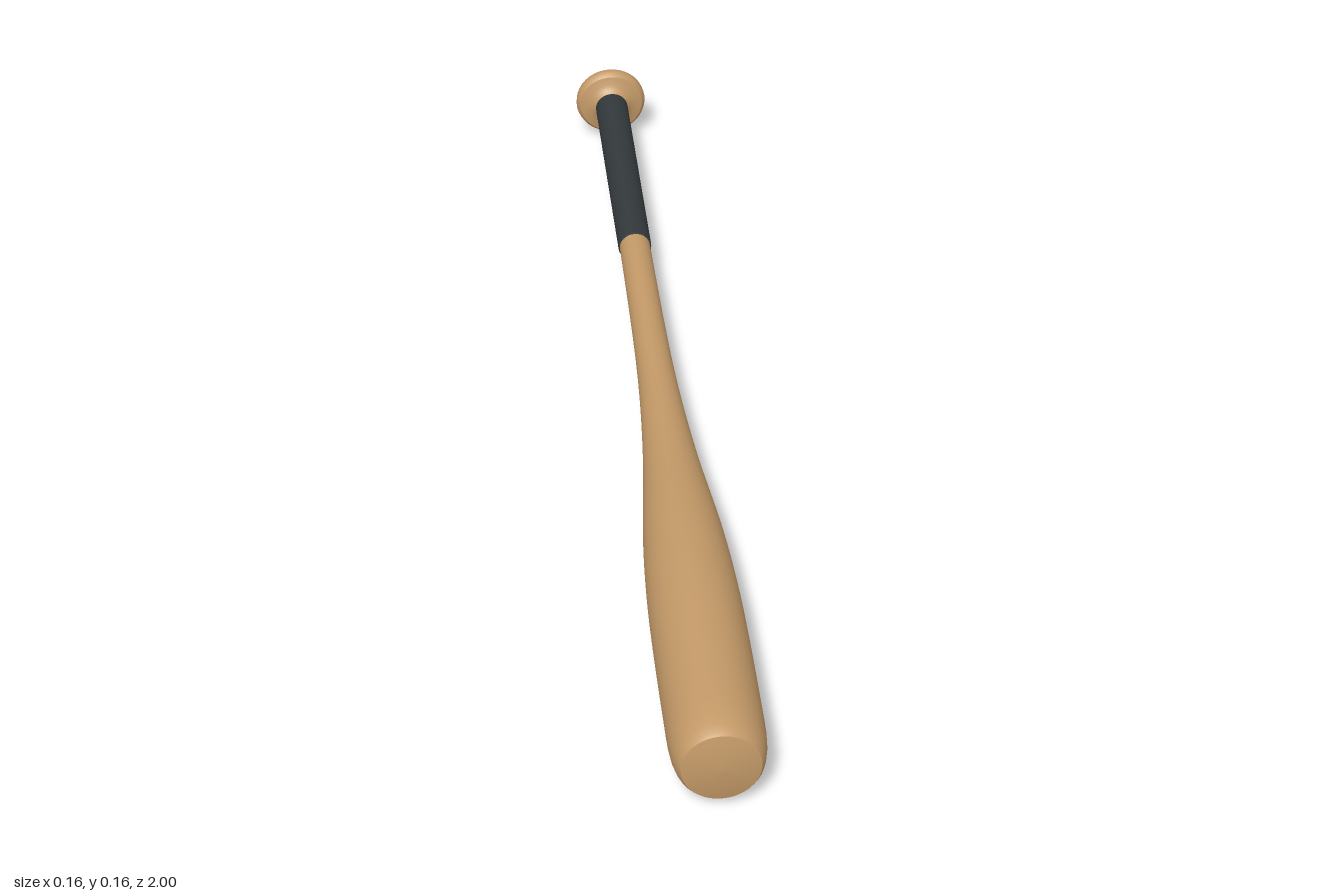
import * as THREE from 'three';

const AXIS_Y = 0.079;

export function createModel() {
  const model = new THREE.Group();
  model.name = 'bat';

  const wood = new THREE.MeshStandardMaterial({ color: 0xc49a68 });
  wood.name = 'wood';
  const gripTape = new THREE.MeshStandardMaterial({ color: 0x33393b });
  gripTape.name = 'gripTape';

  // Turned part along z from [z, radius] pairs, given from back to front
  function turned(name, material, profile) {
    const points = profile.map(([z, r]) => new THREE.Vector2(r, z));
    const geometry = new THREE.LatheGeometry(points, 48).rotateX(Math.PI / 2);
    const mesh = new THREE.Mesh(geometry, material);
    mesh.name = name;
    mesh.position.y = AXIS_Y;
    model.add(mesh);
  }

  // Barrel and taper: a smooth curve through a few radii
  const taper = new THREE.SplineCurve([
    [-0.46, 0.028], [-0.2, 0.03], [0, 0.035], [0.2, 0.047], [0.4, 0.066],
    [0.55, 0.075], [0.7, 0.078], [0.9, 0.078],
  ].map(([z, r]) => new THREE.Vector2(z, r)));
  const body = taper.getPoints(42).map((p) => [p.x, p.y]);
  turned('barrel', wood, [
    ...body, [0.93, 0.0775], [0.955, 0.0755], [0.973, 0.072], [0.985, 0.068], [0.992, 0.0635],
  ]);

  // Slightly domed end of the barrel
  turned('barrelEnd', wood, [[0.992, 0.0635], [0.996, 0.045], [0.999, 0.022], [1, 0]]);

  // Wrapped grip with a small step at its front edge
  turned('grip', gripTape, [[-0.965, 0.031], [-0.46, 0.0305]]);
  turned('gripEdge', gripTape, [[-0.46, 0.0305], [-0.459, 0.027]]);

  // Knob: flat back, rounded rim and a short flare into the handle
  turned('knobBack', wood, [[-1, 0], [-0.999, 0.03], [-0.996, 0.056]]);
  turned('knobRim', wood, [
    [-0.996, 0.056], [-0.993, 0.062], [-0.987, 0.066], [-0.979, 0.067], [-0.972, 0.065], [-0.967, 0.06],
  ]);
  turned('knobFront', wood, [[-0.967, 0.06], [-0.963, 0.045], [-0.958, 0.036], [-0.952, 0.031]]);

  return model;
}
